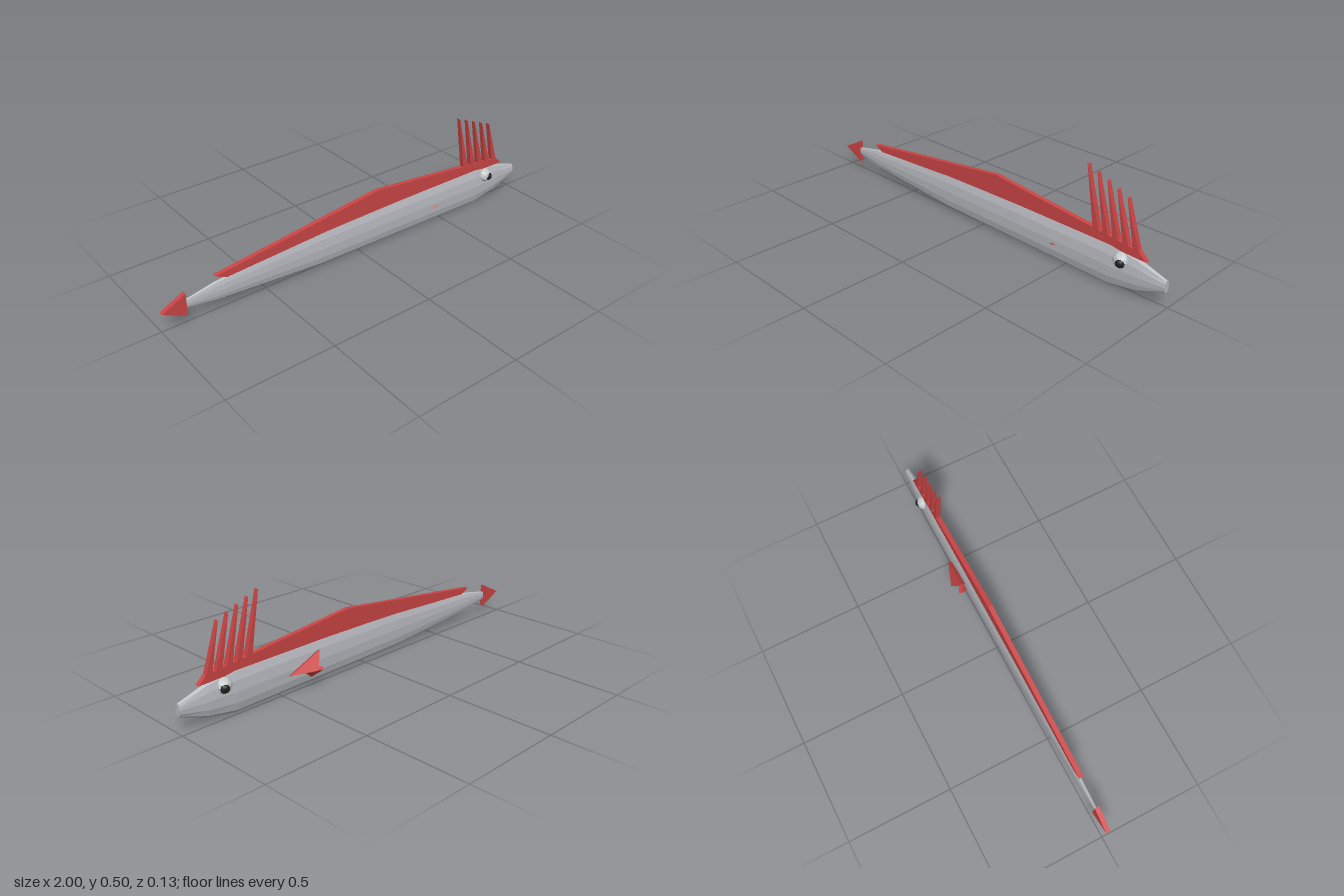
import * as THREE from 'three';
import { ConvexGeometry } from 'three/addons/geometries/ConvexGeometry.js';

const MID = 0.019;        // z of the body's centre plane
const FIN = 0.022;        // fin thickness
const SIDES = 12;

const material = (name, color) => {
  const m = new THREE.MeshStandardMaterial({ color, flatShading: true });
  m.name = name;
  return m;
};

// Closed skin through elliptical rings [x, bottom, top, halfWidth]
function ringBody(rings) {
  const pos = [], index = [];
  for (const [x, y0, y1, w] of rings) {
    for (let i = 0; i < SIDES; i++) {
      const a = (i / SIDES) * Math.PI * 2;
      pos.push(x, (y0 + y1) / 2 + Math.cos(a) * (y1 - y0) / 2, MID + Math.sin(a) * w);
    }
  }
  for (let r = 0; r < rings.length - 1; r++) {
    for (let i = 0; i < SIDES; i++) {
      const a = r * SIDES + i, b = r * SIDES + (i + 1) % SIDES;
      index.push(a, b, a + SIDES, b, b + SIDES, a + SIDES);
    }
  }
  const last = (rings.length - 1) * SIDES;
  for (let i = 1; i < SIDES - 1; i++) {
    index.push(0, i + 1, i);
    index.push(last, last + i, last + i + 1);
  }
  const g = new THREE.BufferGeometry();
  g.setAttribute('position', new THREE.Float32BufferAttribute(pos, 3));
  g.setIndex(index);
  const flat = g.toNonIndexed();
  flat.computeVertexNormals();
  return flat;
}

// Flat plate standing in the centre plane
function plate(points) {
  const shape = new THREE.Shape(points.map(([x, y]) => new THREE.Vector2(x, y)));
  return new THREE.ExtrudeGeometry(shape, { depth: FIN, bevelEnabled: false })
    .translate(0, 0, MID - FIN / 2);
}

// Triangular slab: three corners swept along a thickness vector
function slab(corners, sweep) {
  const t = new THREE.Vector3(...sweep);
  const base = corners.map(c => new THREE.Vector3(...c));
  return new ConvexGeometry([...base, ...base.map(p => p.clone().add(t))]);
}

export function createModel() {
  const group = new THREE.Group();
  const silver = material('silver skin', 0xb9bbc1);
  const red = material('red fin', 0xcb4545);
  const white = material('eye white', 0xc4c9c9);
  const black = material('pupil black', 0x1e1f20);

  const add = (name, geometry, mat) => {
    const mesh = new THREE.Mesh(geometry, mat);
    mesh.name = name;
    group.add(mesh);
    return mesh;
  };

  // Long ribbon body, tail to snout
  add('body', ringBody([
    [-0.90, 0.088, 0.126, 0.006],
    [-0.75, 0.062, 0.156, 0.013],
    [-0.22, 0.018, 0.199, 0.021],
    [0.25, 0.011, 0.203, 0.024],
    [0.73, 0.003, 0.201, 0.025],
    [0.87, 0.029, 0.178, 0.022],
    [1.00, 0.077, 0.135, 0.014],
  ]), silver);

  // Fins along the centre plane
  add('dorsalFin', plate([
    [-0.70, 0.16], [-0.20, 0.185], [0.65, 0.185], [0.905, 0.178],
    [0.87, 0.212], [0.62, 0.237], [0.10, 0.29], [-0.75, 0.185],
  ]), red);
  add('tailFin', plate([[-1, 0.107], [-0.89, 0.053], [-0.89, 0.163]]), red);

  // Crest spines
  for (let i = 0; i < 5; i++) {
    const x = 0.05 * i;
    const base = 0.23 - 0.006 * i;
    add('crestSpine', plate([
      [0.64 + x, base], [0.671 + x, base - 0.005], [0.598 + x, 0.5 - 0.02 * i],
    ]), red);
  }

  // Pectoral fins
  add('upperPectoralFin', slab(
    [[0.47, 0.09, -0.02], [0.31, 0.167, -0.03], [0.35, 0.092, -0.065]],
    [-0.006, -0.009, 0.019]), red);
  add('lowerPectoralFin', slab(
    [[0.47, 0.083, 0.036], [0.305, 0.076, -0.045], [0.33, 0.038, 0]],
    [-0.009, 0.009, 0.016]), red);

  // Eyes
  for (const side of [1, -1]) {
    add('eye', new THREE.IcosahedronGeometry(0.037, 1), white)
      .position.set(0.79, 0.145, MID + side * 0.009);
    add('pupil', new THREE.IcosahedronGeometry(0.022, 1), black)
      .position.set(0.798, 0.142, MID + side * 0.029);
  }
  return group;
}
